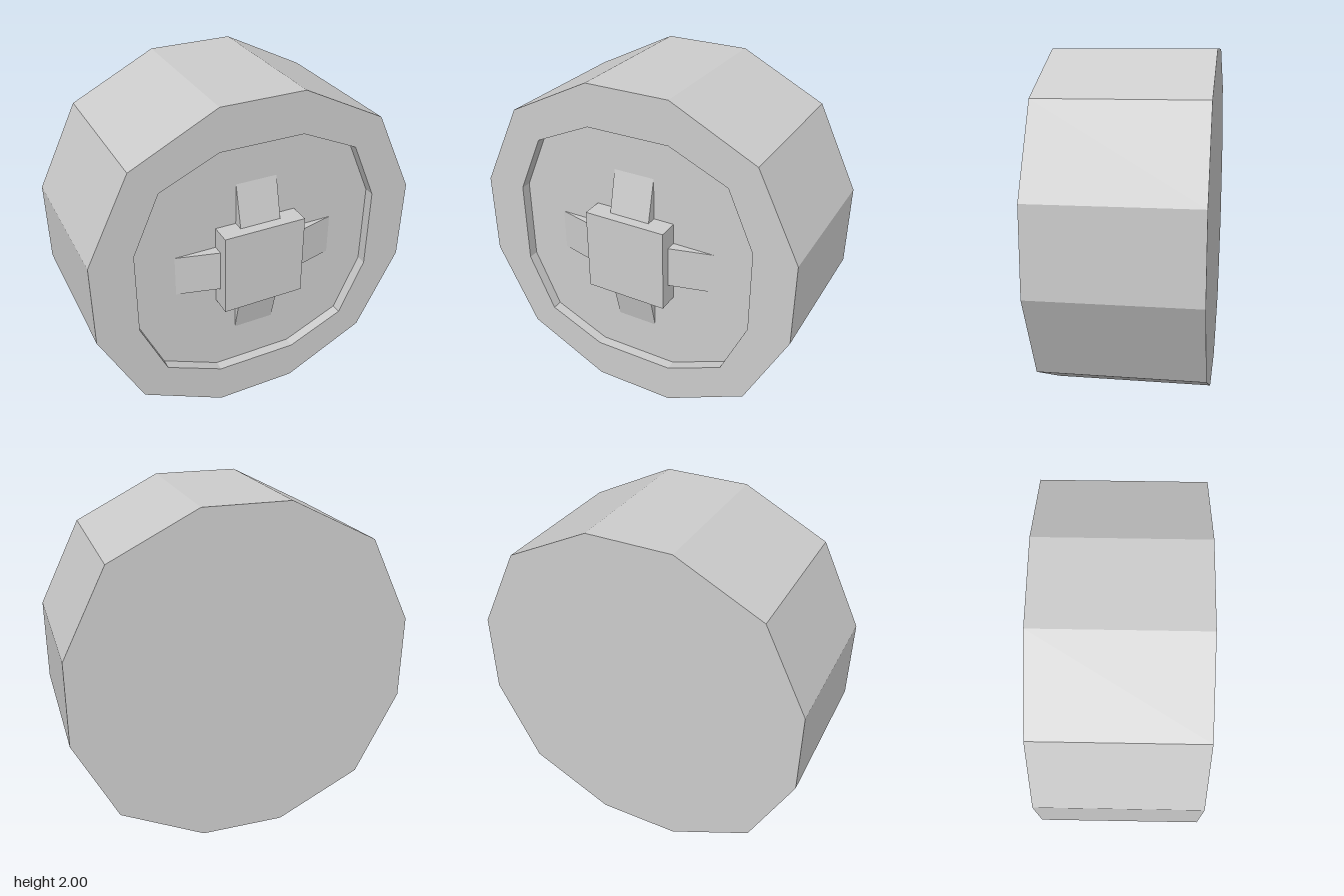
import * as THREE from 'three';

const BACK = -0.5, FLOOR = 0.375, FACE = 0.4375, FRONT = 0.5;

// Twelve-sided outline, mirrored from one quadrant (counter-clockwise from +z)
function outline(quadrant) {
  const points = [];
  for (let k = 0; k < 4; k++) {
    const c = [1, 0, -1, 0][k], s = [0, 1, 0, -1][k];
    for (const [x, y] of quadrant) points.push([x * c - y * s, x * s + y * c]);
  }
  return points;
}

// Flat-sided skin over successive loops; the first and last are single centre points
function skinLoops(loops) {
  const positions = [];
  const n = loops[1].points.length;
  const at = (loop, i) => [...loop.points[i % loop.points.length], loop.z];
  for (let l = 0; l < loops.length - 1; l++) {
    const a = loops[l], b = loops[l + 1];
    for (let i = 0; i < n; i++) {
      if (b.points.length > 1) positions.push(...at(a, i), ...at(b, i + 1), ...at(b, i));
      if (a.points.length > 1) positions.push(...at(a, i), ...at(a, i + 1), ...at(b, i + 1));
    }
  }
  const geometry = new THREE.BufferGeometry();
  geometry.setAttribute('position', new THREE.Float32BufferAttribute(positions, 3));
  geometry.computeVertexNormals();
  return geometry;
}

export function createModel() {
  const model = new THREE.Group();
  model.name = 'wheel';
  const material = new THREE.MeshStandardMaterial({ color: 0xcccccc, flatShading: true });
  const add = (name, geometry) => {
    const mesh = new THREE.Mesh(geometry, material);
    mesh.name = name;
    mesh.position.y = 1;
    model.add(mesh);
    return mesh;
  };

  // Drum with a shallow recess in its front face
  const outer = outline([[1, -0.25], [1, 0.25], [0.75, 0.75]]);
  const inner = outline([[0.75, -0.25], [0.75, 0.25], [0.595, 0.595]]);
  const centre = [[0, 0]];
  add('tyre', skinLoops([
    { points: centre, z: BACK },
    { points: outer, z: BACK },
    { points: outer, z: FACE },
    { points: inner, z: FACE },
    { points: inner, z: FLOOR },
    { points: centre, z: FLOOR },
  ]));

  // Square hub block
  const hub = add('hub', new THREE.BoxGeometry(0.5, 0.5, FRONT - FLOOR));
  hub.position.z = (FRONT + FLOOR) / 2;

  // Four wedge spokes sloping from the hub down to the recess floor
  const wedge = new THREE.Shape([
    new THREE.Vector2(0.25, 0),
    new THREE.Vector2(0.5, 0),
    new THREE.Vector2(0.25, FACE - FLOOR),
  ]);
  const spokeGeometry = new THREE.ExtrudeGeometry(wedge, { depth: 0.25, bevelEnabled: false });
  spokeGeometry.rotateX(Math.PI / 2).translate(0, 0.125, FLOOR);
  ['Left', 'Top', 'Right', 'Bottom'].forEach((side, k) => {
    add('spoke' + side, spokeGeometry).rotation.z = k * Math.PI / 2;
  });

  return model;
}
